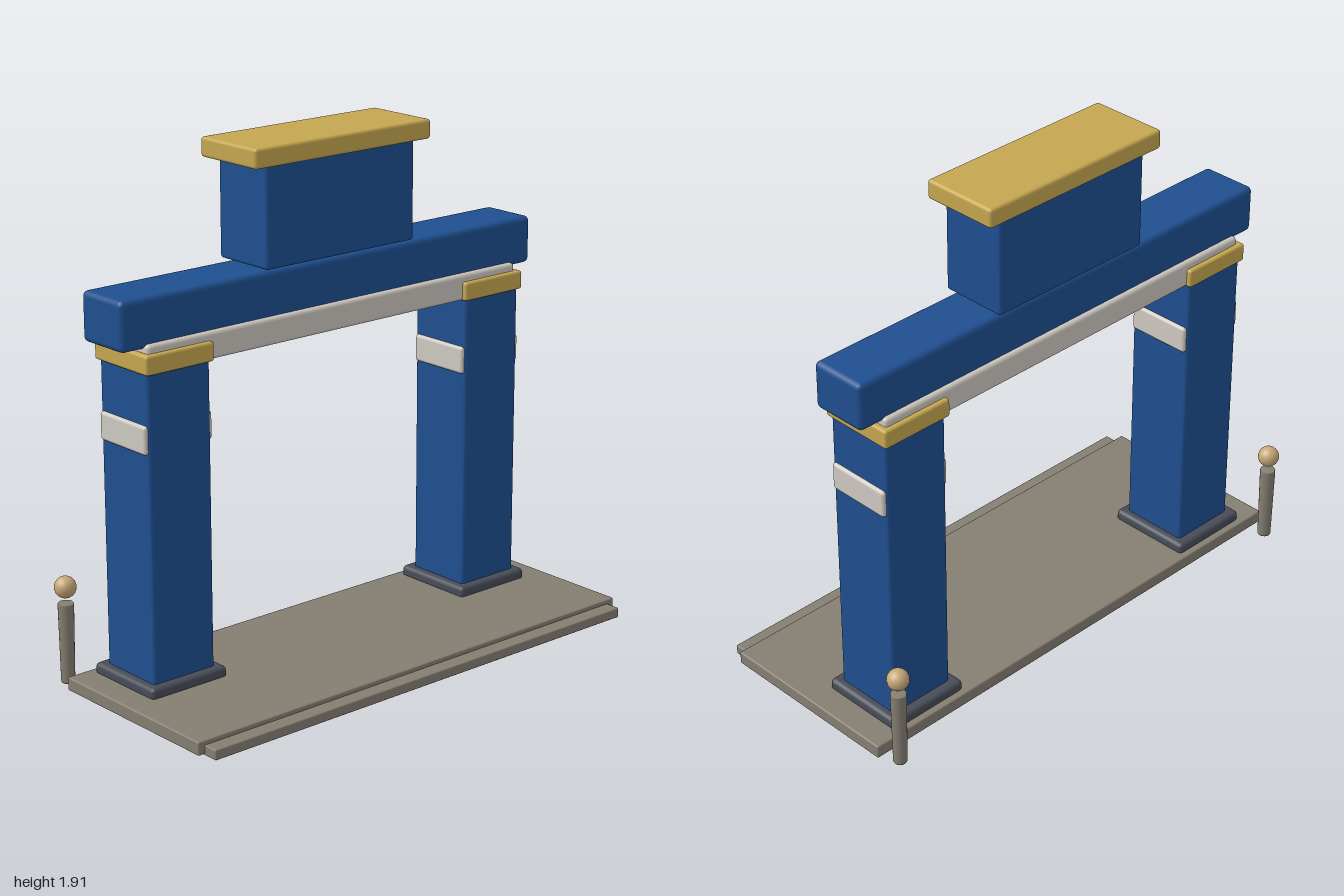
import * as THREE from 'three';
import { RoundedBoxGeometry } from 'three/addons/geometries/RoundedBoxGeometry.js';

const material = (color) => new THREE.MeshStandardMaterial({ color });

export function createModel() {
  const model = new THREE.Group();
  model.name = 'gateway';
  const blue = material(0x1f4f90);
  const gold = material(0xc6a750);
  const stone = material(0x857e72);
  const slate = material(0x474c57);
  const pale = material(0xcfcac2);
  const tan = material(0xc6a878);

  // Bevelled block given by its extents on each axis
  function block(name, mat, [x0, x1], [y0, y1], [z0, z1], bevel = 0.01, parent = model) {
    const mesh = new THREE.Mesh(new RoundedBoxGeometry(x1 - x0, y1 - y0, z1 - z0, 2, bevel), mat);
    mesh.position.set((x0 + x1) / 2, (y0 + y1) / 2, (z0 + z1) / 2);
    mesh.name = name;
    parent.add(mesh);
    return mesh;
  }

  // Base with a low front step and a panel let into the underside
  block('baseSlab', stone, [-1, 1], [0.01, 0.06], [-0.35, 0.39], 0.006);
  block('frontStep', stone, [-0.973, 0.97], [0.005, 0.043], [0.33, 0.447], 0.005);
  block('undersidePanel', tan, [-0.415, 0.415], [0, 0.02], [-0.21, -0.02], 0.002);

  // Pillars and bollards, one of each per side
  for (const side of [-1, 1]) {
    const pillar = new THREE.Group();
    pillar.name = side > 0 ? 'leftPillar' : 'rightPillar';
    pillar.position.x = side * 0.734;
    model.add(pillar);
    block('plinth', slate, [-0.165, 0.165], [0.05, 0.097], [-0.325, 0.012], 0.016, pillar);
    block('shaft', blue, [-0.133, 0.133], [0.07, 1.22], [-0.288, -0.02], 0.012, pillar);
    block('capital', gold, [-0.145, 0.145], [1.21, 1.28], [-0.302, -0.008], 0.01, pillar);
    for (const face of [-1, 1]) {
      const x = face * 0.132;
      block('sidePlate', pale, [x - 0.014, x + 0.014], [0.927, 1.03], [-0.281, -0.027], 0.012, pillar);
    }

    const bollard = new THREE.Group();
    bollard.name = side > 0 ? 'leftBollard' : 'rightBollard';
    bollard.position.set(side * 0.953, 0, -0.412);
    model.add(bollard);
    const profile = [[0, 0.01], [0.023, 0.01], [0.025, 0.014], [0.029, 0.304], [0.027, 0.309], [0, 0.309]];
    const post = new THREE.Mesh(
      new THREE.LatheGeometry(profile.map(([r, y]) => new THREE.Vector2(r, y)), 20), stone);
    post.name = 'post';
    const ball = new THREE.Mesh(new THREE.SphereGeometry(0.04, 20, 14), tan);
    ball.name = 'ball';
    ball.position.y = 0.368;
    bollard.add(post, ball);
  }

  // Crossbeams
  block('lowerBeam', pale, [-0.858, 0.858], [1.21, 1.31], [-0.283, -0.027], 0.015);
  block('upperBeam', blue, [-0.953, 0.953], [1.293, 1.472], [-0.266, -0.045], 0.02);

  // Crowning block with its lid
  block('crownBlock', blue, [-0.342, 0.342], [1.48, 1.85], [-0.284, -0.026], 0.012);
  block('crownLid', gold, [-0.404, 0.404], [1.843, 1.915], [-0.306, -0.006], 0.012);

  return model;
}
